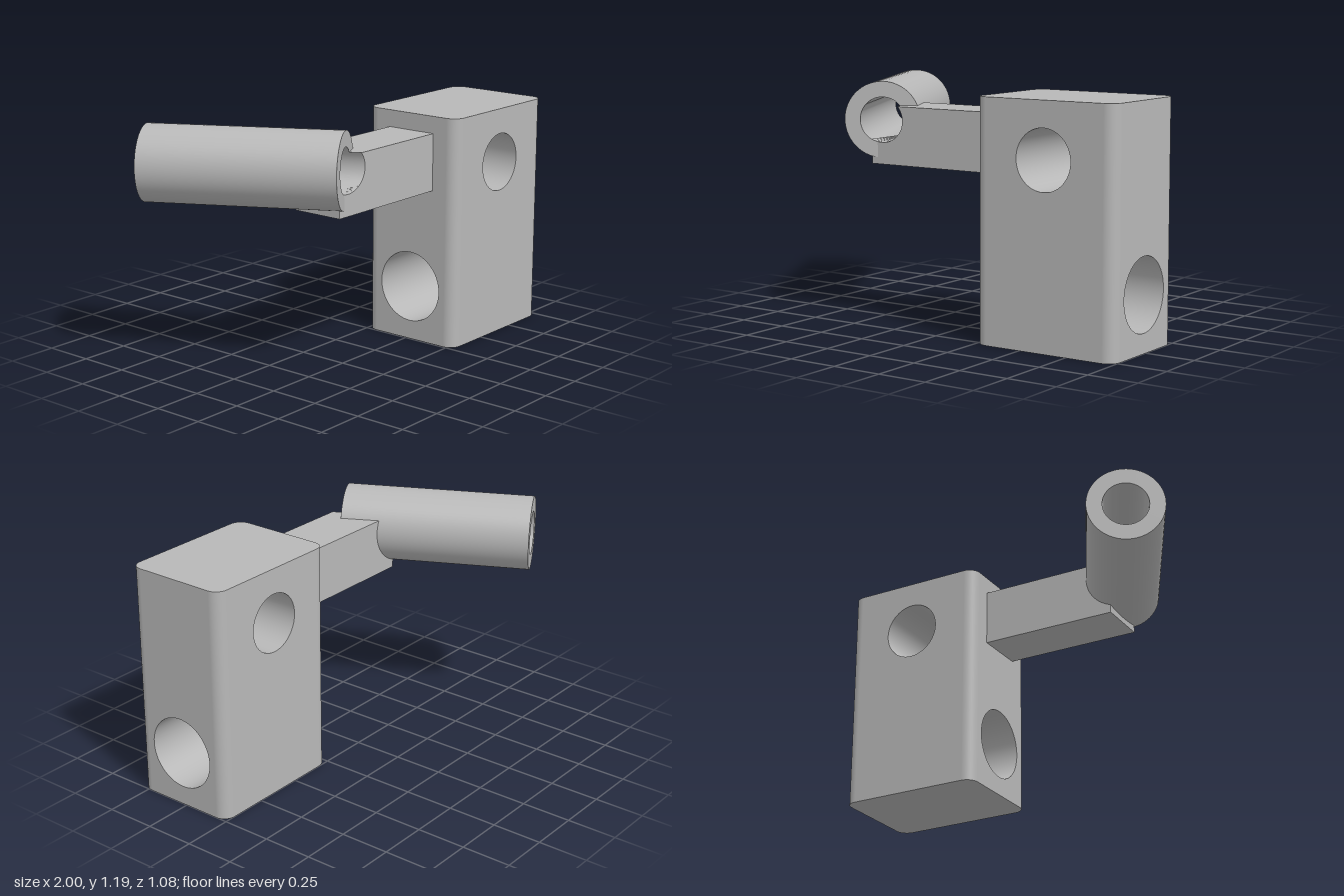
import * as THREE from 'three';
import { toCreasedNormals } from 'three/addons/utils/BufferGeometryUtils.js';

const grey = new THREE.MeshStandardMaterial({ color: 0xb8b8b8, side: THREE.DoubleSide });
grey.name = 'plain grey';

function add(parent, name, geometry, x = 0, y = 0, z = 0) {
  const mesh = new THREE.Mesh(geometry, grey);
  mesh.name = name;
  mesh.position.set(x, y, z);
  parent.add(mesh);
  return mesh;
}

// Flat wall with a round hole, standing on y = 0
function wall(width, height, holeY, holeR) {
  const s = new THREE.Shape();
  s.moveTo(-width / 2, 0).lineTo(width / 2, 0).lineTo(width / 2, height).lineTo(-width / 2, height);
  s.closePath();
  s.holes.push(new THREE.Path().absarc(0, holeY, holeR, 0, Math.PI * 2, true));
  return new THREE.ShapeGeometry(s, 32);
}

// Upright block with rounded vertical edges and two crossing bores
function createBlock() {
  const block = new THREE.Group();
  block.name = 'block';
  const W = 0.745, H = 1.155, D = 0.538, r = 0.06;
  const bores = [
    { y: 0.885, r: 0.145, width: W, depth: D },
    { y: 0.273, r: 0.178, width: D, depth: W },
  ];
  for (let i = 0; i < 4; i++) {
    const b = bores[i % 2], a = i * Math.PI / 2;
    const side = add(block, 'blockWall', wall(b.width - 2 * r, H, b.y, b.r),
      Math.sin(a) * b.depth / 2, 0, Math.cos(a) * b.depth / 2);
    side.rotation.y = a;
    const sx = i < 2 ? 1 : -1, sz = i === 0 || i === 3 ? 1 : -1;
    add(block, 'blockEdge', new THREE.CylinderGeometry(r, r, H, 10, 1, true, a, Math.PI / 2),
      sx * (W / 2 - r), H / 2, sz * (D / 2 - r));
  }
  for (const b of bores) {
    const bore = add(block, 'blockBore', new THREE.CylinderGeometry(b.r, b.r, b.depth, 64, 1, true), 0, b.y, 0);
    if (b === bores[0]) bore.rotation.x = Math.PI / 2;
    else bore.rotation.z = Math.PI / 2;
  }
  // Rounded top and bottom
  const cap = new THREE.Shape();
  const x = W / 2 - r, y = D / 2 - r;
  cap.absarc(x, y, r, 0, Math.PI / 2);
  cap.absarc(-x, y, r, Math.PI / 2, Math.PI);
  cap.absarc(-x, -y, r, Math.PI, Math.PI * 1.5);
  cap.absarc(x, -y, r, Math.PI * 1.5, Math.PI * 2);
  add(block, 'blockTop', new THREE.ShapeGeometry(cap, 10), 0, H, 0).rotation.x = -Math.PI / 2;
  add(block, 'blockBottom', new THREE.ShapeGeometry(cap, 10)).rotation.x = Math.PI / 2;
  block.position.set(0.6275, 0, 0.269);
  return block;
}

// Angled tube ends and radii
const tubeFront = new THREE.Vector3(-0.4, 1.001, 0.388);
const tubeBack = new THREE.Vector3(-0.837, 0.995, -0.455);
const tubeR = 0.186, boreR = 0.11;

function createTube() {
  const axis = tubeFront.clone().sub(tubeBack);
  const h = axis.length() / 2;
  const profile = [[boreR, -h], [tubeR, -h], [tubeR, h], [boreR, h], [boreR, -h]]
    .map(([x, y]) => new THREE.Vector2(x, y));
  const geometry = toCreasedNormals(new THREE.LatheGeometry(profile, 72), 0.6);
  const group = new THREE.Group();
  const tube = add(group, 'tube', geometry);
  tube.position.copy(tubeFront).add(tubeBack).multiplyScalar(0.5);
  tube.quaternion.setFromUnitVectors(new THREE.Vector3(0, 1, 0), axis.normalize());
  return tube;
}

// Square arm, its end cut away obliquely by the tube bore
function createArm() {
  const left = -0.455, right = 0.257, bottom = 0.785, top = 1.07, back = 0.135, front = 0.4;
  const slope = (tubeFront.x - tubeBack.x) / (tubeFront.z - tubeBack.z);
  const cx = tubeFront.x + (front - tubeFront.z) * slope, cy = tubeFront.y;
  const rx = boreR * Math.hypot(1, slope);
  const start = Math.asin((top - cy) / boreR);
  const end = -Math.acos((left - cx) / rx);
  const s = new THREE.Shape();
  s.moveTo(left, bottom).lineTo(right, bottom).lineTo(right, top);
  const n = 28;
  for (let i = 0; i <= n; i++) {
    const a = start + (end - start) * i / n;
    s.lineTo(cx + rx * Math.cos(a), cy + boreR * Math.sin(a));
  }
  s.closePath();
  const geometry = new THREE.ExtrudeGeometry(s, { depth: front - back, bevelEnabled: false });
  geometry.translate(0, 0, back);
  // Lean the bore cut along the tube axis, stopping at the arm's end
  const p = geometry.attributes.position;
  for (let i = 0; i < p.count; i++) {
    const onCut = p.getY(i) > bottom + 0.01 && p.getX(i) < right - 0.01;
    if (onCut) p.setX(i, Math.max(left, p.getX(i) + (p.getZ(i) - front) * slope));
  }
  const arm = new THREE.Mesh(toCreasedNormals(geometry, 0.6), grey);
  arm.name = 'arm';
  return arm;
}

export function createModel() {
  const model = new THREE.Group();
  model.name = 'bracket';
  model.add(createBlock(), createArm(), createTube());
  return model;
}
